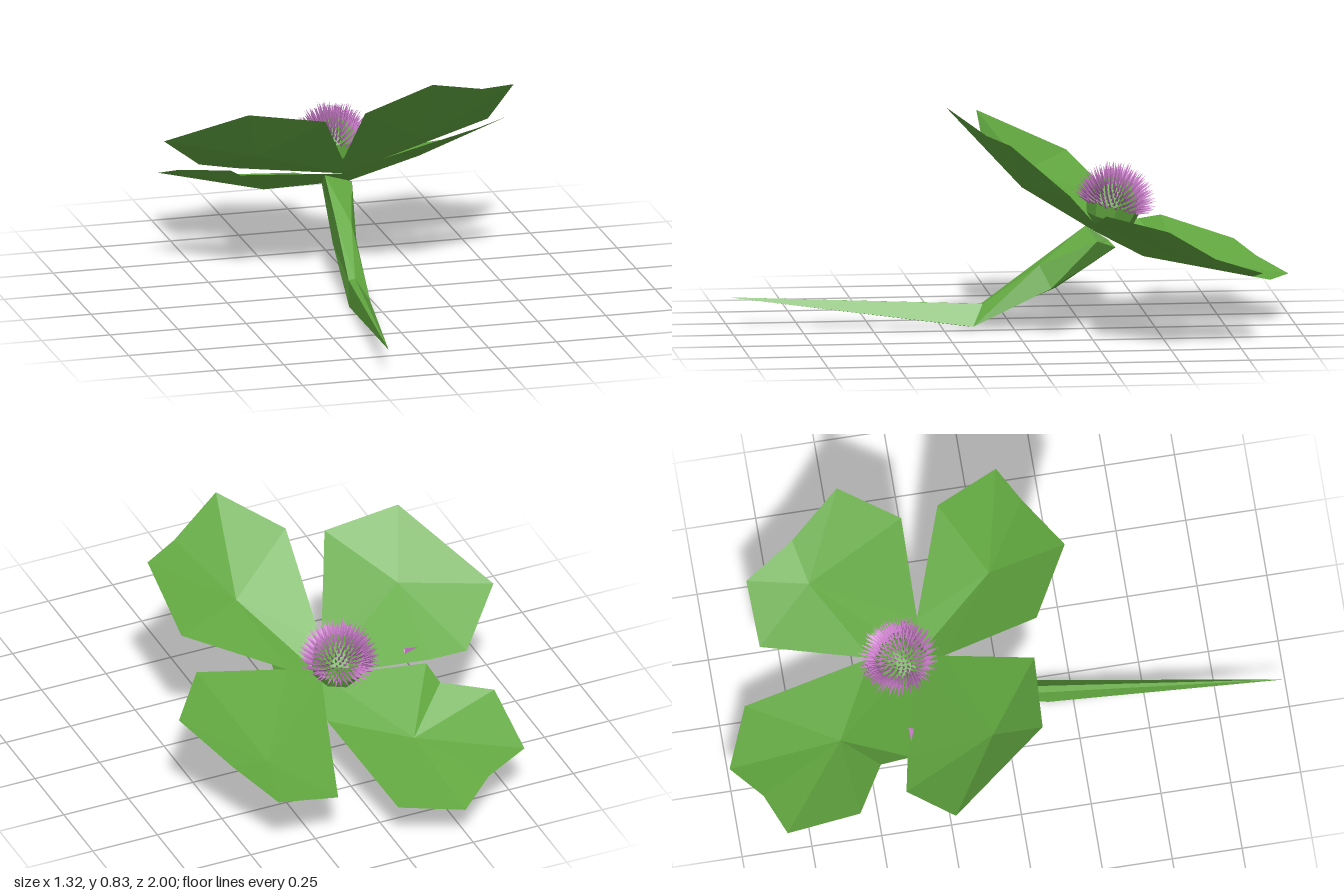
import * as THREE from 'three';
import { mergeGeometries } from 'three/addons/utils/BufferGeometryUtils.js';

function trianglesMesh(tris, material, name) {
  const geo = new THREE.BufferGeometry();
  geo.setAttribute('position', new THREE.Float32BufferAttribute(tris.flat(2), 3));
  geo.computeVertexNormals();
  const mesh = new THREE.Mesh(geo, material);
  mesh.name = name;
  return mesh;
}

// Low-poly petal: a fan around a slightly sunken middle point
function petal(middle, rim, material, name) {
  const tris = rim.map((p, i) => [middle, p, rim[(i + 1) % rim.length]]);
  return trianglesMesh(tris, material, name);
}

// Skin joining rings with the same number of corners
function loft(rings, material, name) {
  const tris = [];
  for (let r = 0; r < rings.length - 1; r++) {
    const a = rings[r], b = rings[r + 1], n = a.length;
    for (let i = 0; i < n; i++) {
      const j = (i + 1) % n;
      tris.push([a[i], a[j], b[j]], [a[i], b[j], b[i]]);
    }
  }
  return trianglesMesh(tris, material, name);
}

export function createModel() {
  const group = new THREE.Group();
  group.name = 'flower';
  const green = new THREE.MeshStandardMaterial({ color: 0x62a840, flatShading: true, side: THREE.DoubleSide });
  green.name = 'leafGreen';
  const pink = new THREE.MeshStandardMaterial({ color: 0xc77bc7, flatShading: true, side: THREE.DoubleSide });
  pink.name = 'floretPink';

  // Four broad petals around the tilted base
  const base = [0.02, 0.35, -0.29];
  group.add(
    petal([0.22, 0.55, 0], [base, [0.145, 0.4, -0.27], [0.495, 0.56, -0.14], [0.53, 0.75, 0.075],
      [0.395, 0.765, 0.145], [0.18, 0.835, 0.265], [-0.03, 0.705, 0.13], [-0.02, 0.43, -0.2]], green, 'frontLeftPetal'),
    petal([-0.37, 0.51, -0.08], [base, [-0.02, 0.43, -0.2], [-0.167, 0.677, 0.1], [-0.445, 0.72, 0.085],
      [-0.66, 0.536, -0.26], [-0.49, 0.39, -0.41], [-0.36, 0.373, -0.385]], green, 'frontRightPetal'),
    petal([-0.2, 0.215, -0.6], [base, [-0.35, 0.35, -0.37], [-0.355, 0.335, -0.48], [-0.52, 0.32, -0.58], [-0.52, 0.23, -0.84],
      [-0.355, 0.195, -0.9], [-0.22, 0.15, -1], [0, 0.165, -0.91], [0.07, 0.27, -0.45]], green, 'backRightPetal'),
    petal([0.375, 0.285, -0.62], [base, [0.07, 0.27, -0.45], [0.195, 0.21, -0.825], [0.43, 0.26, -0.835],
      [0.53, 0.33, -0.655], [0.655, 0.45, -0.475], [0.495, 0.485, -0.27], [0.145, 0.4, -0.27]], green, 'backLeftPetal')
  );

  // Bent stem, tapering to a point
  const tip = [-0.185, 0.108, 1];
  group.add(loft([
    [[-0.07, 0.36, -0.26], [0.038, 0.32, -0.29], [-0.01, 0.29, -0.36], [-0.06, 0.31, -0.34]],
    [[-0.075, 0.235, -0.09], [-0.02, 0.23, -0.09], [0.01, 0.15, -0.13], [-0.07, 0.14, -0.155]],
    [[-0.085, 0.085, 0.11], [-0.06, 0.088, 0.107], [-0.016, 0.014, 0.145], [-0.097, 0.003, 0.16]],
    [tip, tip, tip, tip]
  ], green, 'stem'));

  // Green bud in the middle
  const centre = new THREE.Vector3(-0.015, 0.445, -0.355);
  const bud = new THREE.Mesh(new THREE.SphereGeometry(0.1, 8, 6), green);
  bud.name = 'bud';
  bud.position.copy(centre);
  bud.rotation.x = -0.25;
  group.add(bud);

  // Thin florets bristling from the bud
  const up = new THREE.Vector3(0, 1, 0);
  const axis = new THREE.Vector3(0, 1, -0.25).normalize();
  const tilt = new THREE.Quaternion().setFromUnitVectors(up, axis);
  const spike = (from, dir, length, radius) => {
    const geo = new THREE.ConeGeometry(radius, length, 3, 1, true);
    geo.translate(0, length / 2, 0);
    geo.applyQuaternion(new THREE.Quaternion().setFromUnitVectors(up, dir));
    return geo.translate(from.x, from.y, from.z);
  };
  const spikes = [];
  const count = 300;
  for (let i = 0; i < count; i++) {
    const y = 1 - 1.1 * (i + 0.5) / count;
    const s = Math.sqrt(1 - y * y), a = i * 2.39996;
    const radial = new THREE.Vector3(s * Math.cos(a), y, s * Math.sin(a)).applyQuaternion(tilt);
    const dir = radial.clone().addScaledVector(axis, 0.4).normalize();
    spikes.push(spike(radial.multiplyScalar(0.092).add(centre), dir, 0.05 + 0.015 * ((i * 7) % 5) / 4, 0.006));
  }
  const florets = new THREE.Mesh(mergeGeometries(spikes), pink);
  florets.name = 'florets';
  group.add(florets);

  // One loose floret lying on a petal
  const loose = new THREE.Mesh(
    spike(new THREE.Vector3(-0.27, 0.42, -0.36), new THREE.Vector3(-1, 0.1, -0.1).normalize(), 0.05, 0.012), pink);
  loose.name = 'looseFloret';
  group.add(loose);

  return group;
}
